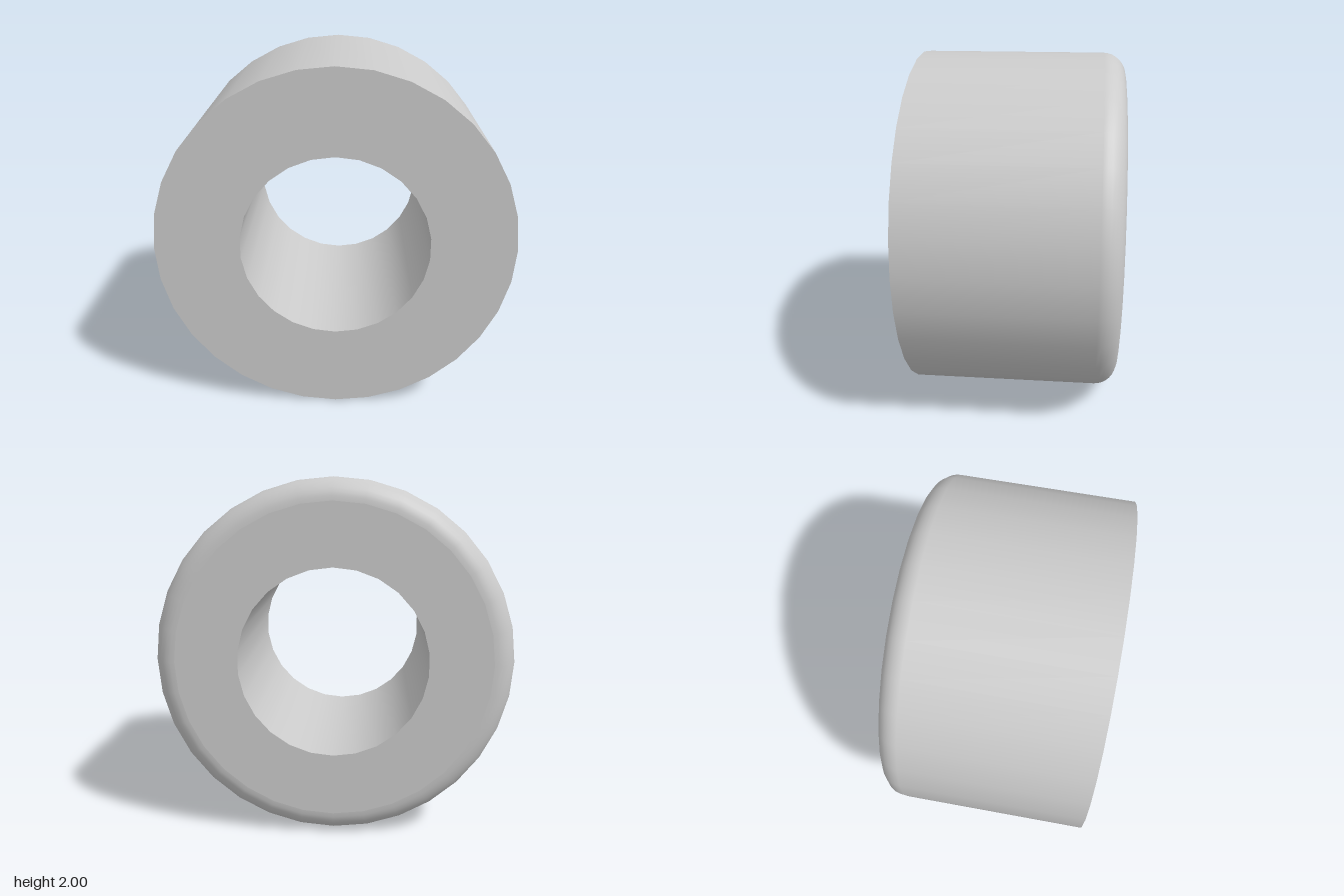
import * as THREE from 'three';

const HALF = 0.585;          // half depth along z
const OUTER = 1, BORE = 0.527, BEVEL = 0.125;
const OUTER_SIDES = 32, BORE_SIDES = 26;

// Corners of a regular polygon, starting at the bottom
function ring(radius, sides) {
  return Array.from({ length: sides }, (_, i) => {
    const a = (i / sides) * Math.PI * 2;
    return new THREE.Vector2(radius * Math.sin(a), -radius * Math.cos(a));
  });
}

// Revolved wall around the z axis; profile points are (radius, z)
function wall(profile, sides) {
  return new THREE.LatheGeometry(profile, sides).rotateX(Math.PI / 2);
}

// Flat annular end face looking toward +z
function endFace(radius) {
  const shape = new THREE.Shape(ring(radius, OUTER_SIDES));
  shape.holes.push(new THREE.Path(ring(BORE, BORE_SIDES)));
  return new THREE.ShapeGeometry(shape).translate(0, 0, HALF);
}

export function createModel() {
  const group = new THREE.Group();
  group.name = 'bushing';
  const material = new THREE.MeshStandardMaterial({ color: 0xcccccc });
  const add = (name, geometry) => {
    const mesh = new THREE.Mesh(geometry, material);
    mesh.name = name;
    mesh.position.y = OUTER;
    group.add(mesh);
  };

  // Outer wall with a rounded back edge
  const profile = [];
  const steps = 8;
  for (let i = 0; i <= steps; i++) {
    const a = (i / steps) * Math.PI / 2;
    profile.push(new THREE.Vector2(
      OUTER - BEVEL + BEVEL * Math.sin(a),
      -HALF + BEVEL - BEVEL * Math.cos(a)));
  }
  profile.push(new THREE.Vector2(OUTER, HALF));
  add('outerWall', wall(profile, OUTER_SIDES));

  // Through bore, facing inward
  add('bore', wall([new THREE.Vector2(BORE, HALF), new THREE.Vector2(BORE, -HALF)], BORE_SIDES));

  // Flat ends
  add('frontFace', endFace(OUTER));
  add('backFace', endFace(OUTER - BEVEL).rotateY(Math.PI));

  return group;
}
